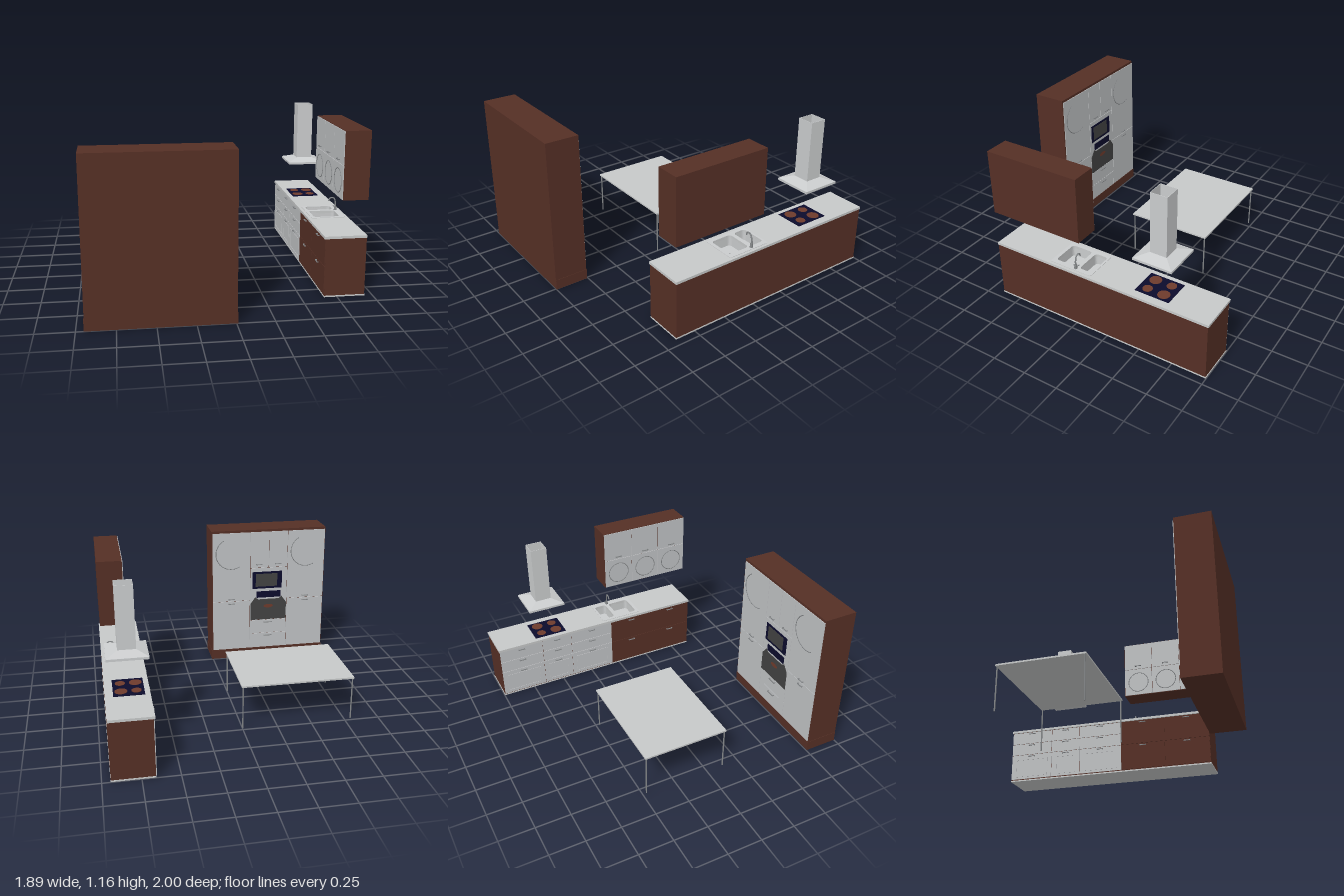
import * as THREE from 'three';

const mat = (name, color) => {
  const m = new THREE.MeshStandardMaterial({ color });
  m.name = name;
  return m;
};

export function createModel() {
  const wood = mat('dark brown wood', 0x552f25);
  const front = mat('grey front', 0xbfc1c3);
  const stone = mat('worktop grey', 0xc6c8c8);
  const steel = mat('steel', 0xcacccd);
  const chrome = mat('handle metal', 0x85888a);
  const navy = mat('navy glass', 0x0b0b2c);
  const glass = mat('dark grey glass', 0x424242);
  const burner = mat('burner red brown', 0x6e3b2c);
  const root = new THREE.Group();

  const group = (name, parent = root) => {
    const g = new THREE.Group();
    g.name = name;
    parent.add(g);
    return g;
  };
  const add = (parent, name, geo, material) => {
    const m = new THREE.Mesh(geo, material);
    m.name = name;
    parent.add(m);
    return m;
  };
  // box given by its minimum and maximum on each axis
  const box = (parent, name, material, x0, x1, y0, y1, z0, z1) => {
    const m = add(parent, name, new THREE.BoxGeometry(x1 - x0, y1 - y0, z1 - z0), material);
    m.position.set((x0 + x1) / 2, (y0 + y1) / 2, (z0 + z1) / 2);
    return m;
  };
  const roundRect = (path, x0, x1, y0, y1, r) => {
    path.moveTo(x0 + r, y0);
    path.lineTo(x1 - r, y0); path.quadraticCurveTo(x1, y0, x1, y0 + r);
    path.lineTo(x1, y1 - r); path.quadraticCurveTo(x1, y1, x1 - r, y1);
    path.lineTo(x0 + r, y1); path.quadraticCurveTo(x0, y1, x0, y1 - r);
    path.lineTo(x0, y0 + r); path.quadraticCurveTo(x0, y0, x0 + r, y0);
    return path;
  };
  const rect = (path, x0, x1, y0, y1) => {
    path.moveTo(x0, y0); path.lineTo(x1, y0); path.lineTo(x1, y1); path.lineTo(x0, y1); path.closePath();
    return path;
  };
  const extrude = (shape, depth) =>
    new THREE.ExtrudeGeometry(shape, { depth, bevelEnabled: false, curveSegments: 6 });
  // flat slab lying at height y; its shape is drawn in (x, -z)
  const slab = (parent, name, shape, y, depth, material) => {
    const m = add(parent, name, extrude(shape, depth).rotateX(-Math.PI / 2), material);
    m.position.y = y;
    return m;
  };
  const tube = (parent, name, pts, r, material) => add(parent, name, new THREE.TubeGeometry(
    new THREE.CatmullRomCurve3(pts.map(p => new THREE.Vector3(...p))), 24, r, 8), material);

  // front-plane helpers: local x across, y up, z outwards
  const panel = (p, name, x0, x1, y0, y1, material = front) =>
    box(p, name, material, x0 + 0.0015, x1 - 0.0015, y0 + 0.0015, y1 - 0.0015, 0, 0.005);
  const handle = (p, x, y, w = 0.052) => {
    const h = group('handle', p);
    box(h, 'handleBar', chrome, x - w / 2, x + w / 2, y - 0.003, y + 0.003, 0.013, 0.018);
    for (const s of [-1, 1]) {
      const c = x + s * (w / 2 - 0.003);
      box(h, 'handlePost', chrome, c - 0.003, c + 0.003, y - 0.003, y + 0.003, 0.004, 0.014);
    }
  };

  // ---- tall oven cabinet, doors towards -z
  const tall = group('tallCabinet');
  box(tall, 'carcass', wood, -0.947, 0.007, 0.075, 1.112, 0.757, 1);
  box(tall, 'plinth', wood, -0.95, 0.01, 0, 0.075, 0.755, 1);
  const tf = group('tallFronts', tall);
  tf.position.z = 0.757;
  tf.rotation.y = Math.PI;
  for (const x0 of [0, 0.63]) {
    const c = x0 + 0.158;
    panel(tf, 'lowerDoor', x0, x0 + 0.315, 0.08, 0.51);
    panel(tf, 'upperDoor', x0, x0 + 0.315, 0.51, 1.095);
    handle(tf, c, 0.53);
    handle(tf, c, 0.49);
    const arc = add(tf, 'doorArc', new THREE.TorusGeometry(0.13, 0.003, 6, 32, Math.PI), chrome);
    arc.position.set(c, 0.92, 0.005);
    arc.rotation.z = THREE.MathUtils.degToRad(120);
  }
  panel(tf, 'topDoorLeft', 0.315, 0.4725, 0.79, 1.095);
  panel(tf, 'topDoorRight', 0.4725, 0.63, 0.79, 1.095);
  handle(tf, 0.39, 0.82);
  handle(tf, 0.55, 0.82);
  panel(tf, 'applianceBack', 0.315, 0.63, 0.33, 0.79);
  panel(tf, 'upperDrawer', 0.315, 0.63, 0.21, 0.33);
  panel(tf, 'lowerDrawer', 0.315, 0.63, 0.08, 0.21);
  handle(tf, 0.47, 0.19, 0.07);
  handle(tf, 0.47, 0.31, 0.07);
  // microwave and oven
  box(tf, 'microwave', navy, 0.335, 0.585, 0.61, 0.755, 0.004, 0.008);
  box(tf, 'microwaveWindow', glass, 0.362, 0.545, 0.628, 0.738, 0.007, 0.01);
  box(tf, 'ovenControls', navy, 0.37, 0.575, 0.53, 0.585, 0.004, 0.008);
  const door = new THREE.Shape();
  [[0.32, 0.335], [0.625, 0.335], [0.625, 0.48], [0.585, 0.535], [0.56, 0.515],
    [0.385, 0.515], [0.36, 0.535], [0.32, 0.48]].forEach(([x, y], i) => i ? door.lineTo(x, y) : door.moveTo(x, y));
  add(tf, 'ovenDoor', extrude(door, 0.004), glass).position.z = 0.006;
  const oval = add(tf, 'ovenEmblemPlate', new THREE.CircleGeometry(0.04, 24), burner);
  oval.scale.y = 0.4;
  oval.position.set(0.472, 0.455, 0.0105);

  // ---- base units along +x, doors towards -x
  const base = group('baseUnits');
  box(base, 'floorPlate', stone, 0.658, 0.945, 0, 0.01, -0.998, 0.65);
  box(base, 'backPanel', wood, 0.93, 0.943, 0.01, 0.415, -0.995, 0.648);
  box(base, 'frontCarcass', wood, 0.66, 0.668, 0.01, 0.415, -0.995, 0.648);
  for (const z of [-0.995, 0.636]) box(base, 'endPanel', wood, 0.66, 0.943, 0.01, 0.415, z, z + 0.012);
  const bf = group('baseFronts', base);
  bf.position.x = 0.66;
  bf.rotation.y = -Math.PI / 2;
  for (const [a, b] of [[-0.995, -0.65], [-0.65, -0.41], [-0.41, -0.06]]) {
    for (const [y0, y1] of [[0.015, 0.22], [0.22, 0.315], [0.315, 0.413]]) {
      panel(bf, 'greyDrawer', a, b, y0, y1);
      handle(bf, (a + b) / 2, y1 - 0.017);
    }
    const trim = rect(new THREE.Shape(), a + 0.035, b - 0.035, 0.035, 0.185);
    trim.holes.push(rect(new THREE.Path(), a + 0.045, b - 0.045, 0.045, 0.175));
    add(bf, 'drawerTrim', extrude(trim, 0.004), front).position.z = 0.004;
  }
  for (const [a, b] of [[-0.06, 0.295], [0.295, 0.648]])
    for (const [y0, y1] of [[0.015, 0.22], [0.22, 0.413]]) {
      panel(bf, 'woodDrawer', a, b, y0, y1, wood);
      handle(bf, (a + b) / 2, y1 - 0.018);
    }

  // ---- worktop with two sink bowls
  const bowls = [[0.7, 0.89, 0.01, 0.105], [0.7, 0.89, -0.18, -0.02]];
  const top = rect(new THREE.Shape(), 0.65, 0.945, -0.65, 1);
  const rim = roundRect(new THREE.Shape(), 0.675, 0.925, -0.205, 0.12, 0.015);
  for (const b of bowls) {
    top.holes.push(roundRect(new THREE.Path(), ...b, 0.025));
    rim.holes.push(roundRect(new THREE.Path(), ...b, 0.025));
  }
  slab(base, 'worktop', top, 0.415, 0.018, stone);
  const sink = group('sink', base);
  slab(sink, 'sinkRim', rim, 0.433, 0.003, steel);
  for (const [x0, x1, y0, y1] of bowls) {
    const wall = roundRect(new THREE.Shape(), x0 - 0.003, x1 + 0.003, y0 - 0.003, y1 + 0.003, 0.027);
    wall.holes.push(roundRect(new THREE.Path(), x0, x1, y0, y1, 0.025));
    slab(sink, 'bowlWall', wall, 0.355, 0.078, steel);
    slab(sink, 'bowlFloor', roundRect(new THREE.Shape(), x0, x1, y0, y1, 0.025), 0.352, 0.004, steel);
    const drain = add(sink, 'drain', new THREE.CylinderGeometry(0.014, 0.014, 0.003, 16), chrome);
    drain.position.set((x0 + x1) / 2, 0.357, -(y0 + y1) / 2);
  }
  // mixer tap
  const tap = group('tap', base);
  add(tap, 'tapBase', new THREE.CylinderGeometry(0.009, 0.011, 0.03, 16), chrome).position.set(0.905, 0.45, 0.01);
  tube(tap, 'spout', [[0.905, 0.45, 0.01], [0.904, 0.495, 0.01], [0.895, 0.525, 0.01], [0.875, 0.533, 0.01],
    [0.858, 0.525, 0.01], [0.852, 0.508, 0.01]], 0.005, chrome);
  tube(tap, 'lever', [[0.905, 0.45, 0.01], [0.9, 0.458, -0.004], [0.893, 0.468, -0.012]], 0.003, chrome);

  // ---- hob
  const hob = group('hob', base);
  box(hob, 'hobGlass', navy, 0.685, 0.89, 0.433, 0.437, -0.69, -0.44);
  for (const [x, z, r] of [[0.737, -0.625, 0.034], [0.737, -0.505, 0.042], [0.838, -0.625, 0.042], [0.838, -0.505, 0.034]])
    add(hob, 'burner', new THREE.CylinderGeometry(r, r, 0.002, 28), burner).position.set(x, 0.438, z);

  // ---- extractor hood with open chimney
  const hood = group('extractorHood');
  box(hood, 'hoodLip', steel, 0.65, 0.925, 0.695, 0.711, -0.727, -0.447);
  const slope = new THREE.CylinderGeometry(0.06 * Math.SQRT2, 0.137 * Math.SQRT2, 0.026, 4)
    .rotateY(Math.PI / 4).toNonIndexed();
  slope.computeVertexNormals();
  add(hood, 'hoodSlope', slope, steel).position.set(0.787, 0.724, -0.587);
  const flue = rect(new THREE.Shape(), 0.727, 0.847, 0.527, 0.647);
  flue.holes.push(rect(new THREE.Path(), 0.73, 0.844, 0.53, 0.644));
  slab(hood, 'chimney', flue, 0.735, 0.43, steel);

  // ---- wall cabinet, doors towards -x
  const wall = group('wallCabinet');
  box(wall, 'wallCarcass', wood, 0.764, 0.94, 0.68, 1.147, -0.052, 0.65);
  const wf = group('wallFronts', wall);
  wf.position.x = 0.764;
  wf.rotation.y = -Math.PI / 2;
  for (let i = 0; i < 3; i++) {
    const a = -0.05 + i * 0.233, c = a + 0.1165;
    panel(wf, 'lowerWallDoor', a, a + 0.233, 0.682, 0.915);
    panel(wf, 'upperWallDoor', a, a + 0.233, 0.915, 1.145);
    handle(wf, c, 0.94);
    add(wf, 'doorRing', new THREE.TorusGeometry(0.083, 0.003, 6, 40), chrome).position.set(c, 0.795, 0.005);
  }

  // ---- table
  const table = group('table');
  box(table, 'tableTop', stone, -0.81, 0.005, 0.315, 0.327, -0.48, 0.14);
  for (const x of [-0.8, -0.005])
    for (const z of [-0.47, 0.13])
      add(table, 'tableLeg', new THREE.CylinderGeometry(0.005, 0.005, 0.315, 10), chrome).position.set(x, 0.1575, z);

  return root;
}
